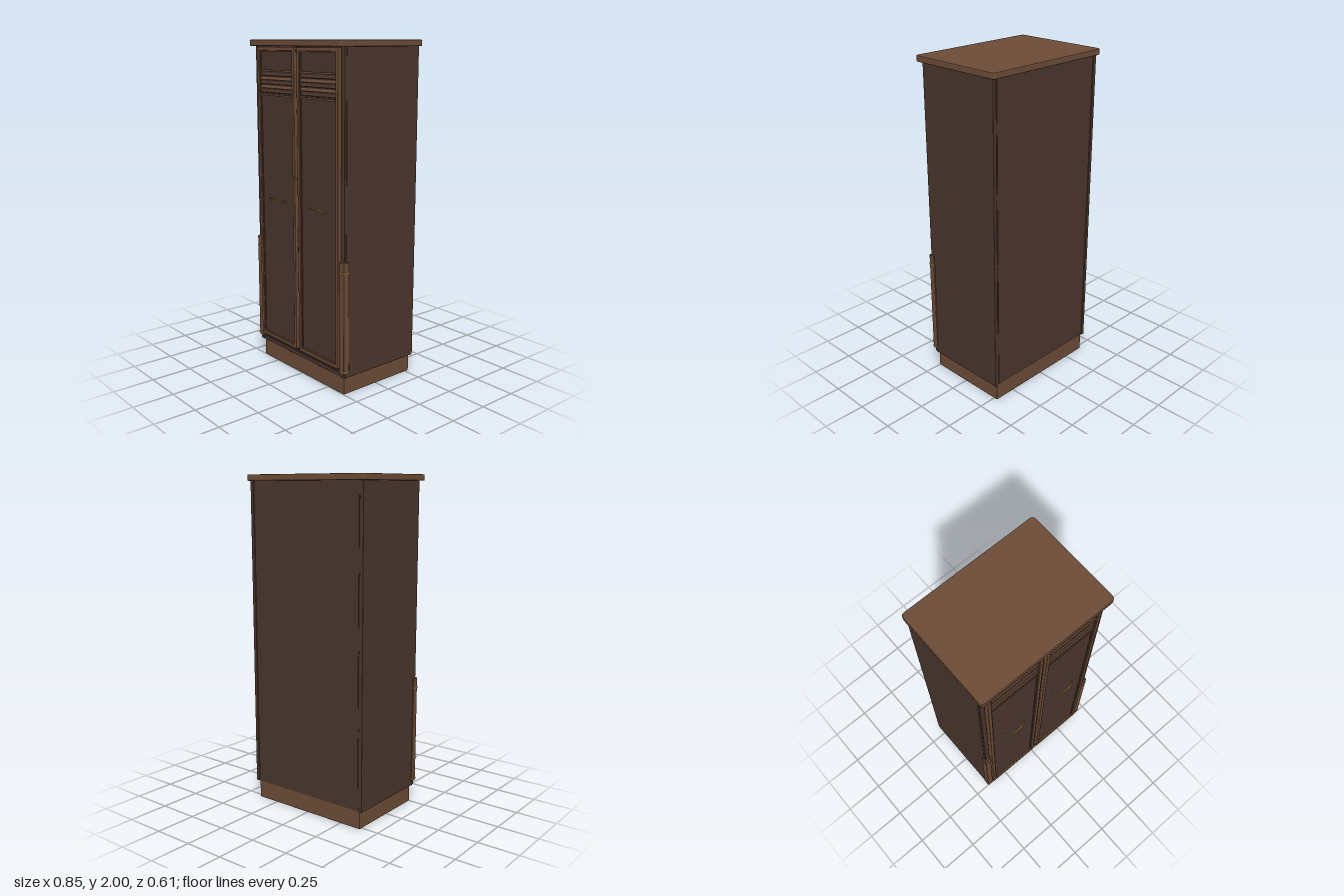
import * as THREE from 'three';
import { RoundedBoxGeometry } from 'three/addons/geometries/RoundedBoxGeometry.js';

const mat = (color) => new THREE.MeshStandardMaterial({ color });

export function createModel() {
  const dark = mat(0x49352d), wood = mat(0x6b4b36), shadow = mat(0x33231d), brass = mat(0x8f7340);
  const model = new THREE.Group();

  const add = (parent, name, geometry, material) => {
    const mesh = new THREE.Mesh(geometry, material);
    mesh.name = name;
    parent.add(mesh);
    return mesh;
  };
  // Box given by its limits on each axis; r rounds the edges
  const box = (parent, name, material, [x0, x1], [y0, y1], [z0, z1], r = 0) => {
    const s = [x1 - x0, y1 - y0, z1 - z0];
    const geo = r ? new RoundedBoxGeometry(...s, 2, r) : new THREE.BoxGeometry(...s);
    const mesh = add(parent, name, geo, material);
    mesh.position.set((x0 + x1) / 2, (y0 + y1) / 2, (z0 + z1) / 2);
    return mesh;
  };

  // Top slab: rounded rectangle with softened edges
  const b = 0.006, w = 0.425 - b, d = 0.306 - b, r = 0.018;
  const outline = new THREE.Shape();
  outline.moveTo(-w + r, -d);
  outline.lineTo(w - r, -d).quadraticCurveTo(w, -d, w, -d + r);
  outline.lineTo(w, d - r).quadraticCurveTo(w, d, w - r, d);
  outline.lineTo(-w + r, d).quadraticCurveTo(-w, d, -w, d - r);
  outline.lineTo(-w, -d + r).quadraticCurveTo(-w, -d, -w + r, -d);
  const slab = new THREE.ExtrudeGeometry(outline, {
    depth: 0.036 - 2 * b, bevelSize: b, bevelThickness: b, bevelSegments: 2, curveSegments: 4,
  });
  slab.rotateX(-Math.PI / 2);
  add(model, 'topSlab', slab, wood).position.y = 1.964 + b;

  // Plinth and carcass
  box(model, 'plinth', wood, [-0.39, 0.39], [0, 0.115], [-0.275, 0.25], 0.004);
  box(model, 'carcass', dark, [-0.395, 0.395], [0.11, 1.966], [-0.28, 0.25]);
  box(model, 'bottomRail', dark, [-0.38, 0.38], [0.11, 0.135], [0.24, 0.262], 0.003);
  box(model, 'bottomRailUpper', shadow, [-0.38, 0.38], [0.137, 0.158], [0.24, 0.256]);
  box(model, 'centrePost', shadow, [-0.014, 0.014], [0.15, 1.964], [0.24, 0.262]);
  for (const y of [0.79, 1.21, 1.6, 1.94]) {
    box(model, 'centreCatch', dark, [-0.005, 0.005], [y - 0.01, y + 0.01], [0.255, 0.272]);
  }

  for (const side of [-1, 1]) {
    const span = (a, c) => (side > 0 ? [a, c] : [-c, -a]);

    // Side panel with a front edge strip
    box(model, 'sidePanel', dark, span(0.387, 0.41), [0.11, 1.966], [-0.285, 0.252], 0.002);
    box(model, 'frontEdgeStrip', dark, span(0.378, 0.408), [0.11, 1.966], [0.245, 0.265], 0.003);

    // Corner guard with brass bands
    const guard = new THREE.Group();
    guard.name = 'cornerGuard';
    model.add(guard);
    box(guard, 'guardPost', wood, span(0.376, 0.416), [0.135, 0.797], [0.234, 0.274], 0.004);
    for (const y of [0.15, 0.735]) {
      box(guard, 'guardBand', brass, span(0.374, 0.418), [y - 0.006, y + 0.006], [0.232, 0.277], 0.003);
    }

    // Door: recessed panel inside a moulded frame
    const door = new THREE.Group();
    door.name = 'door';
    model.add(door);
    box(door, 'doorPanel', dark, span(0.022, 0.36), [0.17, 1.95], [0.25, 0.27]);
    for (const [a, c] of [[0.012, 0.034], [0.35, 0.372]]) {
      box(door, 'doorStile', wood, span(a, c), [0.16, 1.96], [0.252, 0.283], 0.004);
    }
    for (const y of [0.171, 1.949]) {
      box(door, 'doorRail', wood, span(0.025, 0.36), [y - 0.011, y + 0.011], [0.252, 0.283], 0.004);
    }
    // Thin bead around the panel
    for (const [a, c] of [[0.034, 0.039], [0.345, 0.35]]) {
      box(door, 'panelBead', dark, span(a, c), [0.18, 1.94], [0.265, 0.277]);
    }
    for (const [y, h] of [[0.185, 0.005], [1.935, 0.005], [1.823, 0.01], [1.682, 0.01]]) {
      box(door, 'crossBead', wood, span(0.034, 0.35), [y - h / 2, y + h / 2], [0.265, 0.278]);
    }
    // Tilted louvre slats
    for (let i = 0; i < 5; i++) {
      const y = 1.703 + i * 0.0245;
      const slat = box(door, 'louvreSlat', i % 2 ? wood : dark, span(0.036, 0.348), [y - 0.008, y + 0.008], [0.267, 0.274]);
      slat.rotation.x = -0.4;
    }

    // Arched pull handle
    const cx = side * 0.19;
    const arc = new THREE.CatmullRomCurve3([
      [-0.072, 1.06, 0.268], [-0.066, 1.06, 0.288], [-0.035, 1.07, 0.3], [0, 1.073, 0.303],
      [0.035, 1.07, 0.3], [0.066, 1.06, 0.288], [0.072, 1.06, 0.268],
    ].map(([x, y, z]) => new THREE.Vector3(cx + x, y, z)));
    add(door, 'pullHandle', new THREE.TubeGeometry(arc, 28, 0.005, 8), brass);
  }

  // Back panel set between the side panels
  box(model, 'backPanel', dark, [-0.38, 0.38], [0.115, 1.96], [-0.283, -0.27]);
  return model;
}
